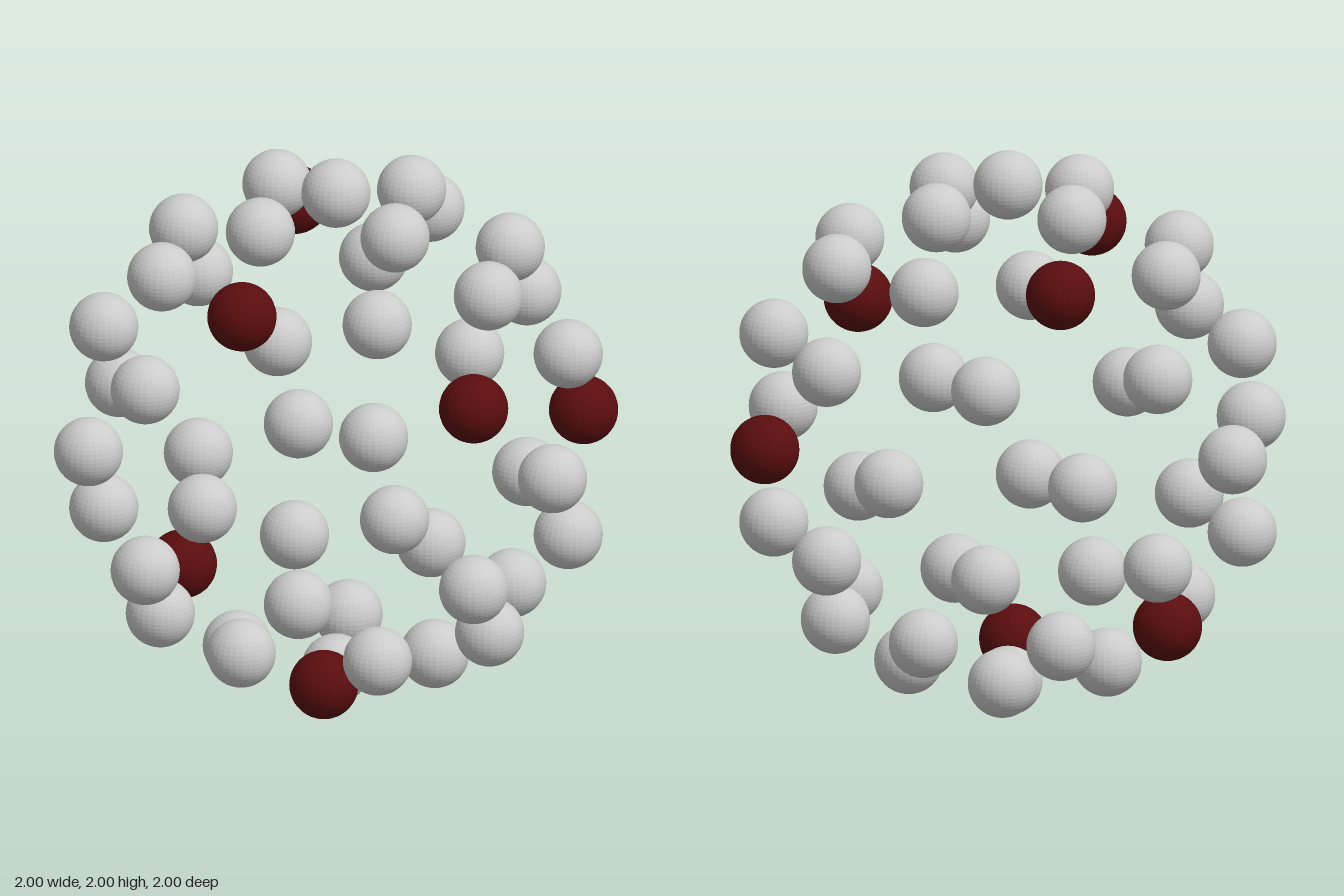
import * as THREE from 'three';

const R = 0.88;       // distance of every ball from the centre
const BALL = 0.12;    // ball radius
const DEG = Math.PI / 180;

// Rings of balls from bottom to top: height above the centre, count,
// angle of the first ball (0 = front, 90 = left) and indices of the red ones
const rings = [
  { name: 'bottomBall', y: -0.88, count: 1, start: 0, red: [] },
  { name: 'lowerCapBall', y: -0.81, count: 4, start: -20.3, red: [0] },
  { name: 'lowerBall', y: -0.62, count: 8, start: 0, red: [5] },
  { name: 'lowerMiddleBall', y: -0.335, count: 8, start: 22.5, red: [] },
  { name: 'equatorBall', y: 0, count: 8, start: 0, red: [2] },
  { name: 'upperMiddleBall', y: 0.335, count: 8, start: 22.5, red: [0] },
  { name: 'upperBall', y: 0.625, count: 8, start: 0, red: [4, 7] },
  { name: 'upperCapBall', y: 0.815, count: 4, start: 24.7, red: [] },
  { name: 'topBall', y: 0.88, count: 1, start: 0, red: [] },
];

export function createModel() {
  const model = new THREE.Group();
  model.name = 'ballCluster';
  const geometry = new THREE.SphereGeometry(BALL, 32, 24);
  const grey = new THREE.MeshStandardMaterial({ color: 0xcccccc, flatShading: true });
  const darkRed = new THREE.MeshStandardMaterial({ color: 0x5a0d0f, flatShading: true });

  for (const { name, y, count, start, red } of rings) {
    const radius = Math.sqrt(Math.max(0, R * R - y * y));
    for (let i = 0; i < count; i++) {
      const angle = (start + (i * 360) / count) * DEG;
      const ball = new THREE.Mesh(geometry, red.includes(i) ? darkRed : grey);
      ball.name = name;
      ball.position.set(radius * Math.sin(angle), 1 + y, radius * Math.cos(angle));
      model.add(ball);
    }
  }
  return model;
}
